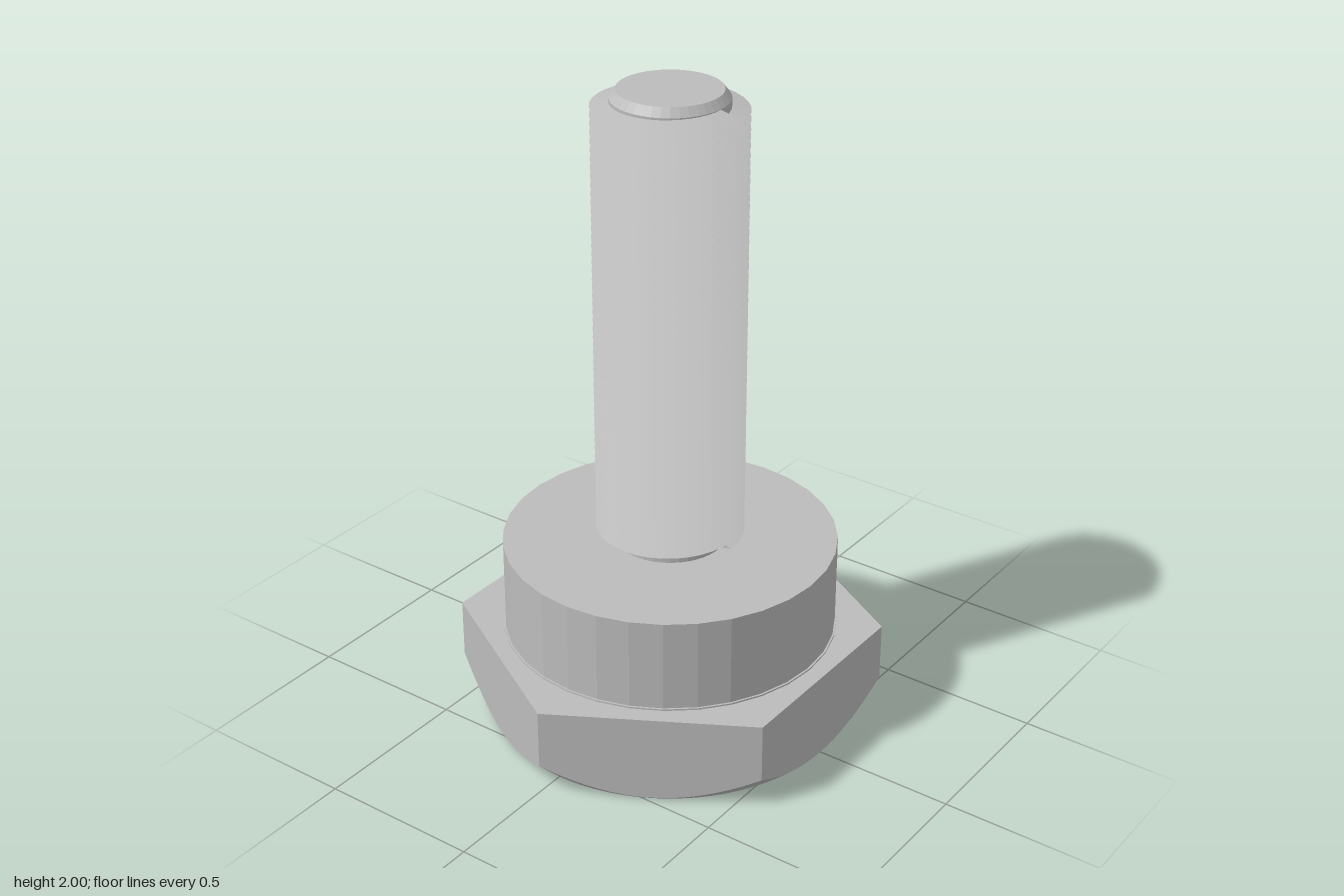
import * as THREE from 'three';

const steel = new THREE.MeshStandardMaterial({ color: 0xbcbcbc });
steel.name = 'steel grey';

// Sweeps a profile of [radius, y] points, listed bottom to top, around the y axis.
function sweep(profileAt, steps, turns, capped) {
  const verts = [];
  const rings = [];
  for (let i = 0; i <= steps; i++) {
    const t = (i / steps) * turns * Math.PI * 2;
    rings.push(profileAt(t).map(([r, y]) => [r * Math.sin(t), y, r * Math.cos(t)]));
  }
  const tri = (a, b, c) => verts.push(...a, ...b, ...c);
  for (let i = 0; i < steps; i++) {
    const p = rings[i], q = rings[i + 1];
    for (let j = 0; j < p.length - 1; j++) {
      tri(p[j], q[j], q[j + 1]);
      tri(p[j], q[j + 1], p[j + 1]);
    }
  }
  if (capped) {
    const s = rings[0], e = rings[steps];
    tri(s[0], s[1], s[2]);
    tri(e[0], e[2], e[1]);
  }
  const geo = new THREE.BufferGeometry();
  geo.setAttribute('position', new THREE.Float32BufferAttribute(verts, 3));
  geo.computeVertexNormals();
  return geo;
}

export function createModel() {
  const group = new THREE.Group();
  group.name = 'hexBolt';
  const add = (name, geo) => {
    const mesh = new THREE.Mesh(geo, steel);
    mesh.name = name;
    group.add(mesh);
  };

  // Hexagonal head, its lower corners cut by a 45 degree cone
  const apothem = 0.567, discR = 0.562, headTop = 0.28;
  const side = Math.PI / 3;
  add('hexHead', sweep((t) => {
    const a = t - Math.round(t / side) * side;
    const r = apothem / Math.cos(a);
    return [[0, 0], [discR, 0], [r, r - discR], [r, headTop], [0, headTop]];
  }, 96, 1));

  // Round collar with a slight step at its foot
  const collar = [[0.516, headTop], [0.516, 0.285], [0.51, 0.285], [0.51, 0.573], [0, 0.573]];
  add('collar', sweep(() => collar, 32, 1));

  // Shank with a chamfered tip
  const shank = [[0.172, 0.57], [0.172, 1.975], [0.153, 2], [0, 2]];
  add('shank', sweep(() => shank, 40, 1));

  // Sharp right-handed thread, ending just below the tip
  const turns = 52, low = 0.598, high = 1.962, half = 0.0125;
  add('thread', sweep((t) => {
    const y = low + ((high - low) * t) / (turns * Math.PI * 2);
    return [[0.168, y - half], [0.226, y], [0.168, y + half]];
  }, turns * 36, turns, true));

  return group;
}
